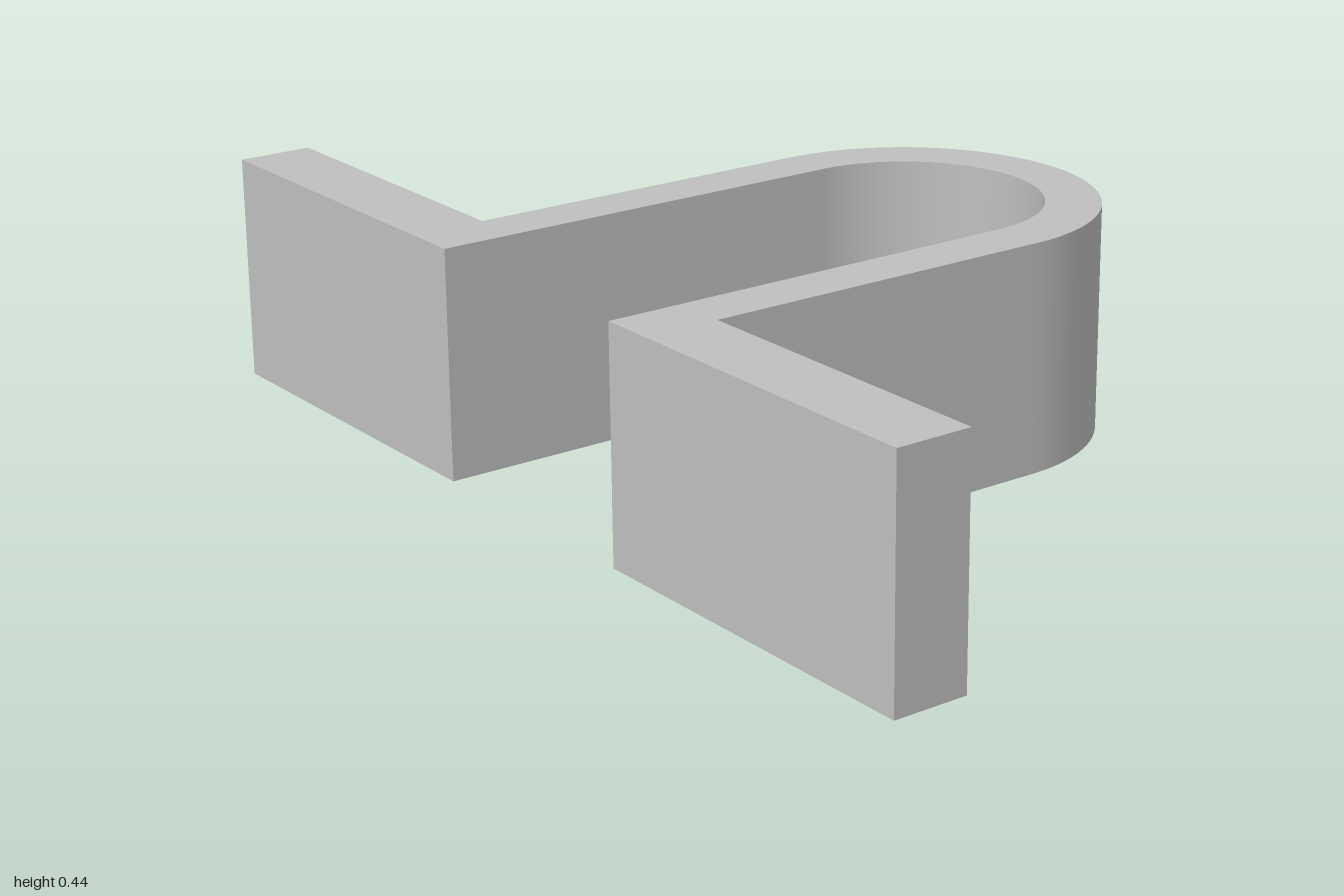
import * as THREE from 'three';
import { toCreasedNormals } from 'three/addons/utils/BufferGeometryUtils.js';

export function createModel() {
  const group = new THREE.Group();
  group.name = 'clampBracket';
  const greyMetal = new THREE.MeshStandardMaterial({ color: 0xbfbfbf });
  greyMetal.name = 'greyMetal';

  const height = 0.44, front = 0.605, flangeBack = 0.46;
  const outer = 0.36, inner = 0.255, arcZ = -0.245;

  // Plan outline: shape y is -z, so the front edge lies at y = -front
  const plan = new THREE.Shape();
  plan.moveTo(-1, -front);
  plan.lineTo(-inner, -front);
  plan.lineTo(-inner, -arcZ);
  plan.absarc(0, -arcZ, inner, Math.PI, 0, true); // inside of the bend
  plan.lineTo(inner, -front);
  plan.lineTo(1, -front);
  plan.lineTo(1, -flangeBack);
  plan.lineTo(outer, -flangeBack);
  plan.lineTo(outer, -arcZ);
  plan.absarc(0, -arcZ, outer, 0, Math.PI, false); // outside of the bend
  plan.lineTo(-outer, -flangeBack);
  plan.lineTo(-1, -flangeBack);
  plan.closePath();

  // One continuous strip: two flanges and the U-shaped loop
  const solid = new THREE.ExtrudeGeometry(plan, { depth: height, bevelEnabled: false, curveSegments: 40 });
  solid.rotateX(-Math.PI / 2);
  const strip = new THREE.Mesh(toCreasedNormals(solid, 0.5), greyMetal);
  strip.name = 'bentStrip';
  group.add(strip);
  return group;
}
